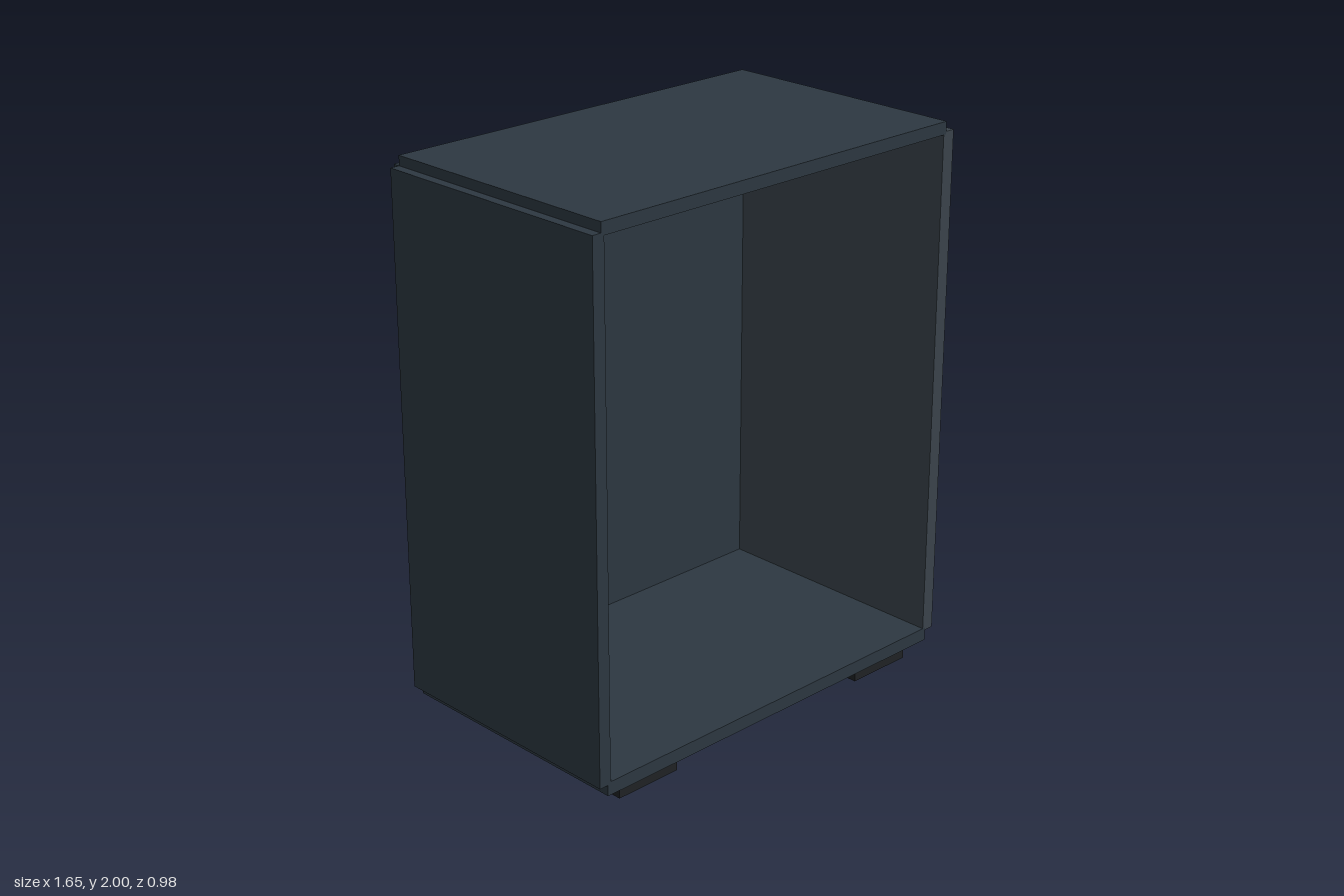
import * as THREE from 'three';

const material = (color) => new THREE.MeshStandardMaterial({ color });

export function createModel() {
  const model = new THREE.Group();
  model.name = 'computerCase';
  const shell = material(0x2d3841);
  const fascia = material(0x3b444c);
  const bay = material(0x4a4e52);
  const vent = material(0x232a30);
  const rubber = material(0x1f2224);

  // Box given by its min and max on each axis
  function slab(name, [x0, x1], [y0, y1], [z0, z1], mat) {
    const mesh = new THREE.Mesh(new THREE.BoxGeometry(x1 - x0, y1 - y0, z1 - z0), mat);
    mesh.position.set((x0 + x1) / 2, (y0 + y1) / 2, (z0 + z1) / 2);
    mesh.name = name;
    model.add(mesh);
  }

  // Shell, open on the front
  const wide = [-0.79, 0.77];
  const tall = [0.097, 1.965];
  const deep = [-0.465, 0.49];
  slab('topPanel', wide, [1.955, 2], deep, shell);
  slab('bottomPanel', wide, [0.057, 0.106], deep, shell);
  slab('rearPanel', wide, tall, [-0.492, -0.443], shell);
  slab('blankEndPanel', [-0.825, -0.778], tall, deep, shell);
  slab('fasciaPanel', [0.758, 0.808], tall, deep, fascia);

  // Drive bays on the fascia
  slab('largeDriveBay', [0.8, 0.823], [1.37, 1.505], [-0.165, 0.402], bay);
  slab('smallDriveBay', [0.8, 0.823], [1.165, 1.245], [-0.115, 0.355], bay);

  // Vent slats
  for (let i = 0; i < 6; i++) {
    const y = 0.302 + i * 0.0835;
    slab('ventSlat', [0.8, 0.821], [y - 0.019, y + 0.019], [-0.248, 0.382], vent);
  }

  // Feet
  for (const x of [-0.58, 0.563]) {
    slab('foot', [x - 0.13, x + 0.13], [0, 0.06], [0.2, 0.457], rubber);
  }
  return model;
}
